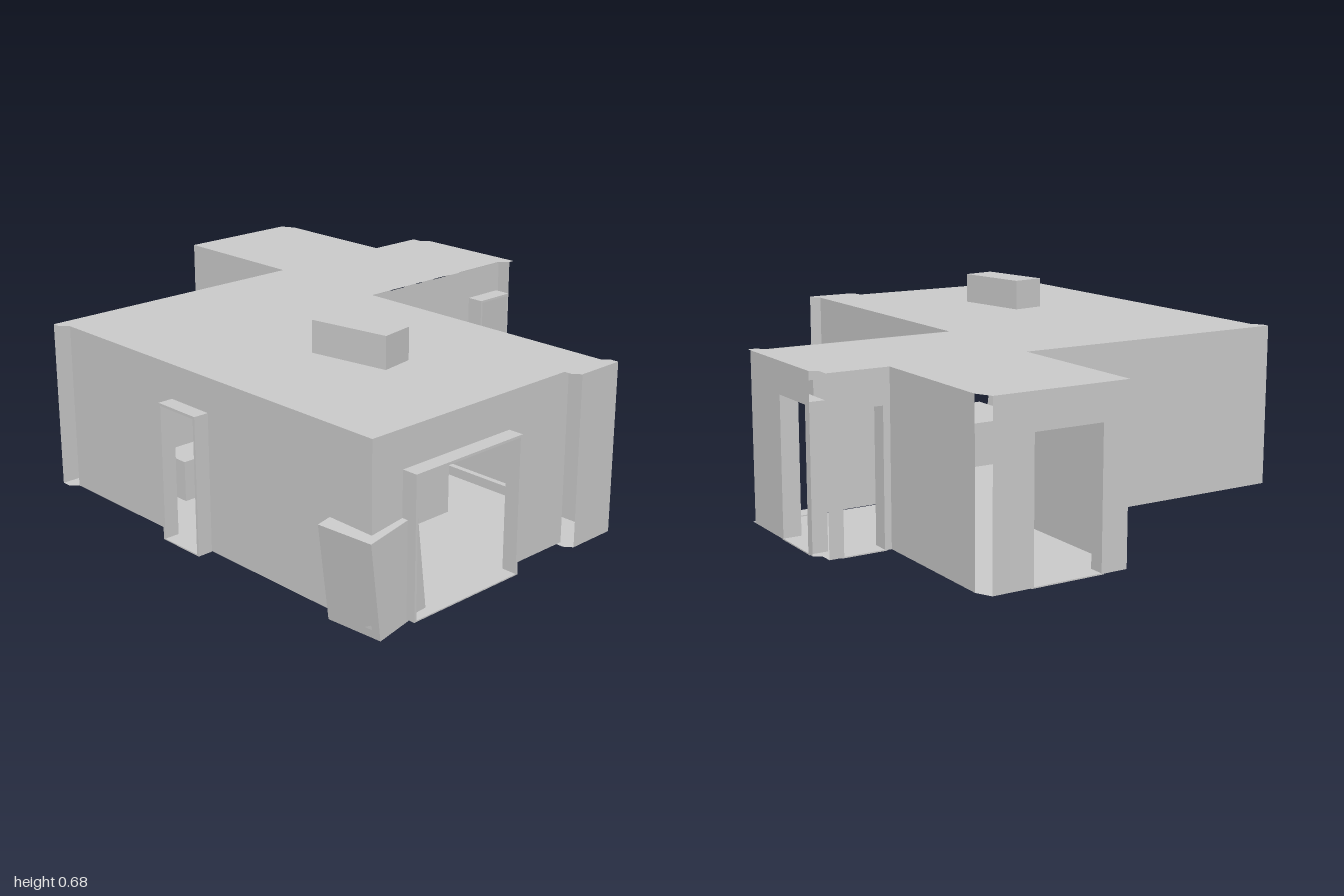
import * as THREE from 'three';

const material = new THREE.MeshStandardMaterial({ color: 0xcccccc, flatShading: true, side: THREE.DoubleSide });
const FLOOR = 0.03, ROOF = 0.58;

function add(parent, name, geometry) {
  const mesh = new THREE.Mesh(geometry, material);
  mesh.name = name;
  parent.add(mesh);
  return mesh;
}

// Box given by its minimum and maximum corners
function block(parent, name, x0, y0, z0, x1, y1, z1) {
  const mesh = add(parent, name, new THREE.BoxGeometry(x1 - x0, y1 - y0, z1 - z0));
  mesh.position.set((x0 + x1) / 2, (y0 + y1) / 2, (z0 + z1) / 2);
  return mesh;
}

// Thin wall from a to b along x or z; door = { from, to, top, d0, d1 },
// where d0..d1 is the depth of the frame across the wall
function wall(parent, name, axis, at, a, b, door) {
  const group = new THREE.Group();
  group.name = name;
  const alongZ = axis === 'z';
  // along z, the local horizontal coordinate runs toward -z
  const span = (p, q) => (alongZ ? [-q, -p] : [p, q]);
  const [u0, u1] = span(a, b);
  const points = [[u0, FLOOR], [u0, ROOF], [u1, ROOF], [u1, FLOOR]];
  if (door) {
    const [p, q] = span(door.from, door.to);
    points.push([q, FLOOR], [q, door.top], [p, door.top], [p, FLOOR]);
    const t = 0.008, { top, d0, d1 } = door;
    block(group, 'leftJamb', p, FLOOR, d0, p + t, top, d1);
    block(group, 'rightJamb', q - t, FLOOR, d0, q, top, d1);
    block(group, 'lintel', p, top - t, d0, q, top, d1);
    block(group, 'threshold', p, FLOOR - 0.002, d0, q, FLOOR + 0.002, d1);
  }
  const shape = new THREE.Shape(points.map(([x, y]) => new THREE.Vector2(x, y)));
  add(group, 'panel', new THREE.ShapeGeometry(shape));
  if (alongZ) {
    group.rotation.y = Math.PI / 2;
    group.position.x = at;
  } else {
    group.position.z = at;
  }
  parent.add(group);
}

export function createModel() {
  const model = new THREE.Group();
  model.name = 'house';

  // Floor and flat roof share one plan, with small jutting corners
  const plan = [
    [-0.83, -0.48], [0.15, -0.48], [0.15, -1], [0.6, -1], [0.625, -0.95], [0.625, -0.48],
    [0.83, -0.48], [0.83, -0.44], [0.855, -0.42], [0.855, 0.01], [0.83, 0.01], [0.8, -0.02],
    [0.15, -0.02], [0.15, 0.95], [0.17, 0.975], [0.17, 1], [0, 1], [-0.02, 0.975],
    [-0.02, 0.95], [-0.805, 0.95], [-0.805, -0.425], [-0.83, -0.45],
  ];
  const planShape = new THREE.Shape(plan.map(([x, z]) => new THREE.Vector2(x, -z)));
  for (const [name, y] of [['floor', FLOOR], ['roof', ROOF]]) {
    const slab = add(model, name, new THREE.ShapeGeometry(planShape).rotateX(-Math.PI / 2));
    slab.position.y = y;
  }

  // Front wall with the wide entrance, and the pier beside it
  wall(model, 'frontWall', 'x', 0.95, -0.805, 0, { from: -0.69, to: -0.26, top: 0.463, d0: 0, d1: 0.05 });
  wall(model, 'frontPier', 'x', 1, 0, 0.17);

  // Main side walls and back wall
  wall(model, 'rightWall', 'z', -0.805, -0.425, 0.95, { from: 0.1, to: 0.27, top: 0.47, d0: -0.05, d1: 0 });
  wall(model, 'leftWall', 'z', 0.15, -0.02, 0.95);
  wall(model, 'backWall', 'x', -0.48, -0.83, 0.15);

  // Back wing
  wall(model, 'backWingRightWall', 'z', 0.15, -1, -0.48);
  wall(model, 'backWingLeftWall', 'z', 0.625, -0.95, -0.48);
  wall(model, 'backWingEndWall', 'x', -1, 0.15, 0.6, { from: 0.23, to: 0.475, top: 0.475, d0: 0, d1: 0.05 });

  // Side wing: the front wall has two doorways, built as two panels
  const porch = { top: 0.475, d0: 0, d1: 0.06 };
  wall(model, 'sideWingFrontWallInner', 'x', -0.015, 0.15, 0.5, { from: 0.23, to: 0.4, ...porch });
  wall(model, 'sideWingFrontWallOuter', 'x', -0.015, 0.5, 0.8, { from: 0.64, to: 0.79, ...porch });
  wall(model, 'sideWingEndWall', 'z', 0.855, -0.42, -0.01, { from: -0.4, to: -0.21, top: 0.485, d0: -0.06, d1: 0 });
  wall(model, 'sideWingBackWall', 'x', -0.48, 0.625, 0.83, { from: 0.64, to: 0.79, top: 0.475, d0: 0, d1: 0.055 });

  // Chimney passing through the roof
  const chimney = add(model, 'chimney', new THREE.BoxGeometry(0.117, 0.274, 0.274));
  chimney.position.set(-0.35, 0.547, 0.435);
  chimney.rotation.y = 0.165;

  // Tilted crate lodged in the front right corner
  const crate = add(model, 'tiltedCrate', new THREE.BoxGeometry(0.192, 0.302, 0.19));
  crate.position.set(-0.73, 0.166, 0.878);
  crate.rotation.set(0, 0.075, 0.135);

  // Boxes standing inside
  block(model, 'largeBox', -0.63, 0.025, -0.2, -0.44, 0.165, -0.08);
  block(model, 'smallBox', -0.6, 0.025, -0.07, -0.49, 0.15, 0.03);
  block(model, 'turnedBox', -0.45, 0.025, -0.26, -0.36, 0.145, -0.17).rotation.y = 0.2;
  block(model, 'lowBench', -0.325, 0.025, 0.24, -0.08, 0.19, 0.56);

  // Thin ledge along the long side wall
  block(model, 'sideLedge', 0.13, 0.068, 0.22, 0.152, 0.073, 0.7);
  return model;
}
